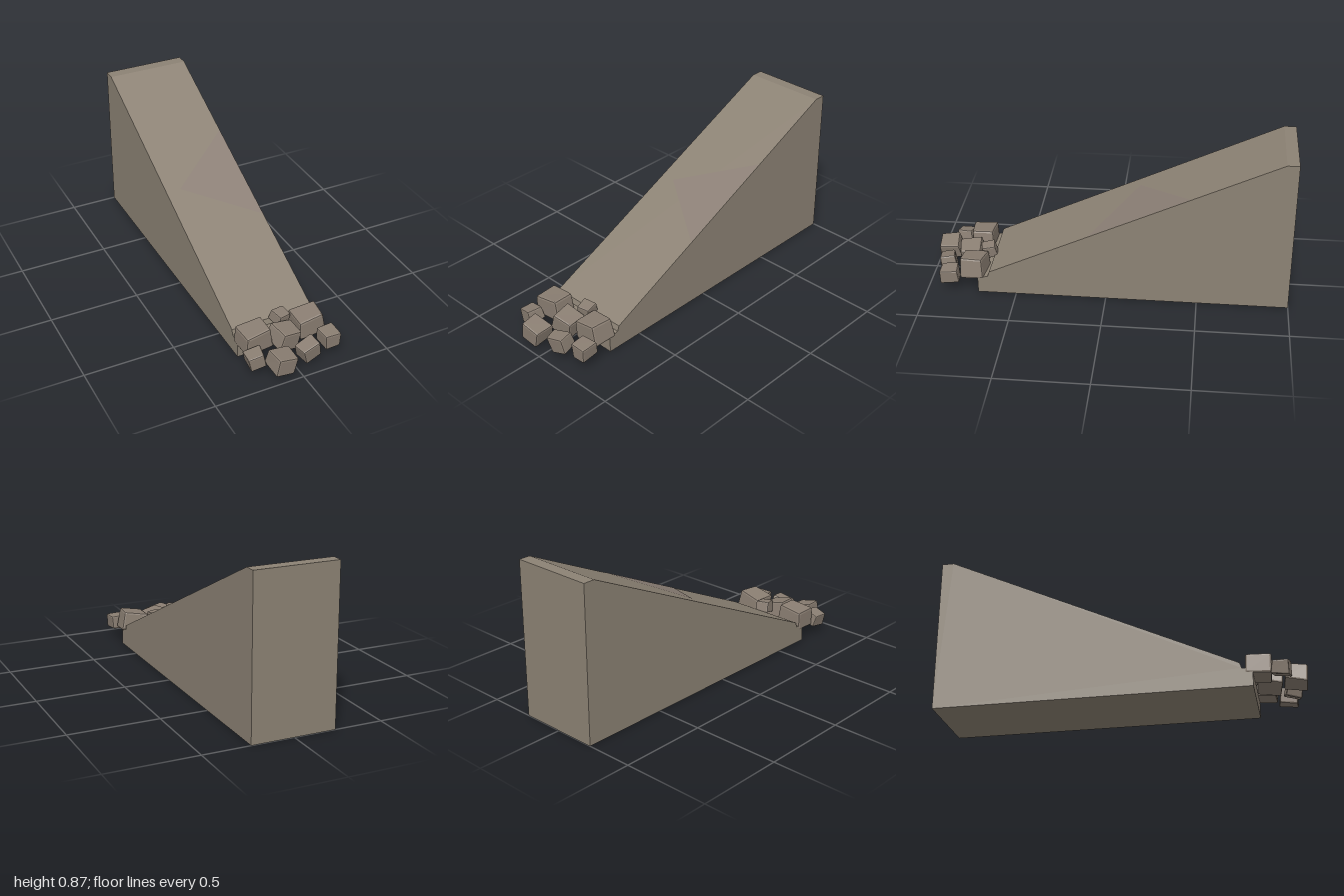
import * as THREE from 'three';
import { RoundedBoxGeometry } from 'three/addons/geometries/RoundedBoxGeometry.js';

const slopeY = (z) => 0.435 - 0.468 * z;

// Bevelled block with uneven corners and faceted sides
function rockGeometry(w, h, d, seed) {
  const geo = new RoundedBoxGeometry(w, h, d, 1, Math.min(w, h, d) * 0.1);
  const p = geo.attributes.position;
  const k = [1, 2, 3, 4, 5, 6].map((i) => Math.sin(seed * 12.9 + i * 4.7) * 0.07);
  for (let i = 0; i < p.count; i++) {
    const x = p.getX(i), y = p.getY(i), z = p.getZ(i);
    const u = (2 * x) / w, v = (2 * y) / h, t = (2 * z) / d;
    p.setXYZ(i,
      x * (1 + k[0] * v + k[1] * t),
      y * (1 + k[2] * u + k[3] * t),
      z * (1 + k[4] * u + k[5] * v));
  }
  const flat = geo.index ? geo.toNonIndexed() : geo;
  flat.computeVertexNormals();
  return flat;
}

export function createModel() {
  const group = new THREE.Group();
  const stone = new THREE.MeshStandardMaterial({ color: 0x8c8274 });
  const rockStone = new THREE.MeshStandardMaterial({ color: 0x8a7e72 });
  const wornStone = new THREE.MeshStandardMaterial({ color: 0x8b7f75 });
  stone.name = 'stone';
  rockStone.name = 'rock stone';
  wornStone.name = 'worn stone';

  // Ramp: side profile as [z, y], extruded across x
  const profile = [[-1, 0], [-1, 0.872], [-0.934, 0.872], [0.648, slopeY(0.648)],
    [0.658, 0.102], [0.714, 0.092], [0.714, 0]];
  const shape = new THREE.Shape(profile.map(([z, y]) => new THREE.Vector2(-z, y)));
  const rampGeo = new THREE.ExtrudeGeometry(shape, { depth: 0.47, bevelEnabled: false });
  rampGeo.rotateY(Math.PI / 2).translate(-0.233, 0, 0);
  const ramp = new THREE.Mesh(rampGeo, stone);
  ramp.name = 'ramp';
  group.add(ramp);

  // Faint worn triangle on the slope
  const corners = [[-0.15, -0.16], [0.236, 0.1], [0.236, -0.45]];
  const patchGeo = new THREE.BufferGeometry().setFromPoints(
    corners.map(([x, z]) => new THREE.Vector3(x, slopeY(z) + 0.002, z)));
  patchGeo.computeVertexNormals();
  const patch = new THREE.Mesh(patchGeo, wornStone);
  patch.name = 'wornPatch';
  group.add(patch);

  // Rubble at the foot: centre, size, rotation
  const rocks = [
    [[-0.155, 0.13, 0.742], [0.155, 0.115, 0.13], [0.03, 0.03, 0.07]],
    [[0.157, 0.132, 0.745], [0.15, 0.11, 0.135], [0.06, -0.06, 0.14]],
    [[0, 0.117, 0.788], [0.125, 0.1, 0.125], [0.12, 0.1, -0.25]],
    [[0.03, 0.153, 0.682], [0.076, 0.068, 0.08], [0.2, 0.2, -0.12]],
    [[-0.21, 0.096, 0.86], [0.09, 0.075, 0.09], [0.1, -0.12, 0.24]],
    [[-0.092, 0.087, 0.93], [0.118, 0.095, 0.115], [0.12, 0.06, -0.2]],
    [[0.073, 0.088, 0.908], [0.105, 0.09, 0.085], [0.15, 0.2, 0.24]],
    [[0.214, 0.096, 0.873], [0.09, 0.082, 0.098], [0.08, 0.05, 0.02]],
  ];
  rocks.forEach(([pos, size, rot], i) => {
    const rock = new THREE.Mesh(rockGeometry(...size, i + 1), rockStone);
    rock.name = `rock${i + 1}`;
    rock.position.set(...pos);
    rock.rotation.set(...rot);
    group.add(rock);
  });

  return group;
}
